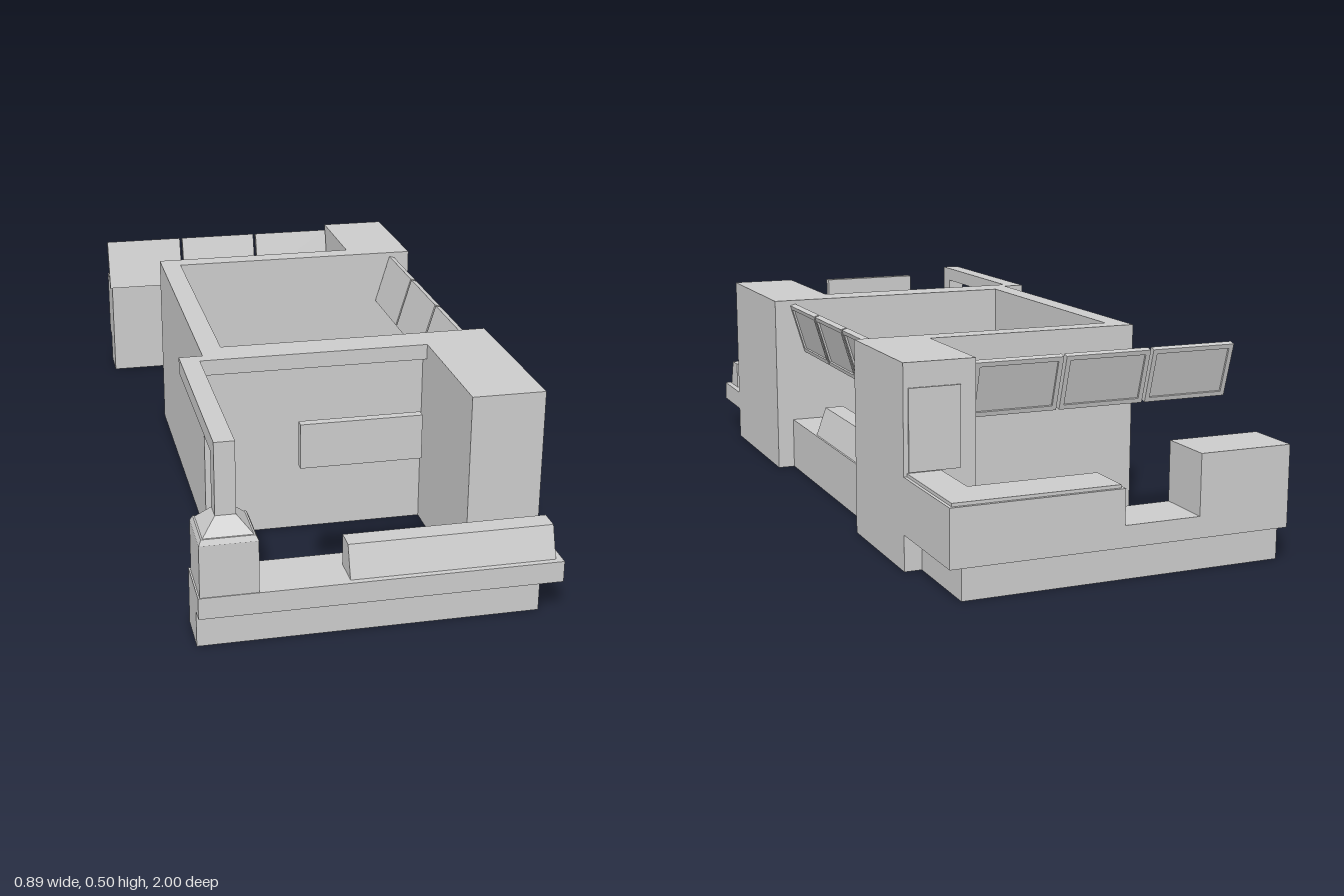
import * as THREE from 'three';

const mat = new THREE.MeshStandardMaterial({ color: 0xcccccc, flatShading: true, side: THREE.DoubleSide });

function add(parent, name, geometry) {
  const mesh = new THREE.Mesh(geometry, mat);
  mesh.name = name;
  parent.add(mesh);
  return mesh;
}

// Box given by its limits on each axis
function box(parent, name, x0, x1, y0, y1, z0, z1) {
  const mesh = add(parent, name, new THREE.BoxGeometry(x1 - x0, y1 - y0, z1 - z0));
  mesh.position.set((x0 + x1) / 2, (y0 + y1) / 2, (z0 + z1) / 2);
  return mesh;
}

function shapeOf(points) {
  return new THREE.Shape(points.map(([x, y]) => new THREE.Vector2(x, y)));
}

// Flat plan (x, z) raised from y0 to y1
function slab(parent, name, plan, y0, y1) {
  const shape = shapeOf(plan.map(([x, z]) => [x, -z]));
  const geo = new THREE.ExtrudeGeometry(shape, { depth: y1 - y0, bevelEnabled: false });
  geo.rotateX(-Math.PI / 2);
  add(parent, name, geo).position.y = y0;
}

// Bar with a sloping outer face (outer side is local +z)
function slopedBar(parent, name, length) {
  const profile = shapeOf([[-0.04, 0], [0.04, 0], [0.012, 0.077], [-0.04, 0.077]]);
  const geo = new THREE.ExtrudeGeometry(profile, { depth: length, bevelEnabled: false });
  geo.translate(0, 0, -length / 2).rotateY(-Math.PI / 2);
  return add(parent, name, geo);
}

// Row of three framed panels leaning outward at the top (local +z)
function panelRow(parent, name, width) {
  const row = new THREE.Group();
  row.name = name;
  const gap = 0.008, w = (width - 2 * gap) / 3, h = 0.145, rim = 0.012;
  for (let i = -1; i <= 1; i++) {
    const panel = new THREE.Group();
    panel.name = 'awningPanel';
    box(panel, 'panelSheet', -w / 2, w / 2, -h / 2, h / 2, -0.008, 0.003);
    const frame = shapeOf([[-w / 2, -h / 2], [w / 2, -h / 2], [w / 2, h / 2], [-w / 2, h / 2]]);
    const a = w / 2 - rim, b = h / 2 - rim;
    frame.holes.push(shapeOf([[-a, -b], [-a, b], [a, b], [a, -b]]));
    const geo = new THREE.ExtrudeGeometry(frame, { depth: 0.005, bevelEnabled: false });
    add(panel, 'panelFrame', geo).position.z = 0.003;
    panel.position.x = i * (w + gap);
    panel.rotation.x = 0.29;
    row.add(panel);
  }
  parent.add(row);
  return row;
}

export function createModel() {
  const g = new THREE.Group();
  g.name = 'stall';

  // Three-sided enclosure, open above, below and toward the counter
  box(g, 'sideWall', -0.315, -0.26, 0, 0.5, -0.42, 0.415);
  box(g, 'backWall', -0.26, 0.26, 0, 0.5, -0.42, -0.365);
  box(g, 'frontWall', -0.26, 0.26, 0, 0.5, 0.36, 0.415);

  // Tall blocks on either side of the serving window
  box(g, 'frontPillar', 0.26, 0.442, 0, 0.5, 0.36, 0.82);
  box(g, 'backPillar', 0.26, 0.442, 0, 0.5, -0.715, -0.365);
  box(g, 'pillarPlate', 0.3, 0.43, 0.24, 0.44, -0.719, -0.715);

  // Serving window
  box(g, 'servingCounter', 0.308, 0.395, 0, 0.143, -0.365, 0.36);
  const sideBar = slopedBar(g, 'sideCounterBar', 0.495);
  sideBar.rotation.y = Math.PI / 2;
  sideBar.position.set(0.35, 0.143, -0.107);

  // Awnings
  const sideRow = panelRow(g, 'sideAwning', 0.72);
  sideRow.rotation.y = Math.PI / 2;
  sideRow.position.set(0.368, 0.4175, 0);
  const backRow = panelRow(g, 'backAwning', 0.702);
  backRow.rotation.y = Math.PI;
  backRow.position.set(-0.095, 0.4175, -0.678);

  // Front ledge and its recessed base
  slab(g, 'frontLedge', [[-0.423, 0.85], [-0.423, 1], [0.442, 1], [0.442, 0.82], [0.308, 0.82], [0.308, 0.85]], 0.09, 0.143);
  slab(g, 'frontBase', [[-0.423, 0.85], [-0.423, 0.963], [0.398, 0.963], [0.398, 0.82], [0.308, 0.82], [0.308, 0.85]], 0, 0.09);
  slopedBar(g, 'frontCounterBar', 0.495).position.set(0.178, 0.143, 0.945);
  box(g, 'hangingSign', -0.163, 0.123, 0.381, 0.489, 0.852, 0.874);

  // Corner post: pedestal, four-sided taper, shaft and overhead beams
  box(g, 'postPedestal', -0.419, -0.283, 0.143, 0.273, 0.862, 0.998);
  const tiers = [[0.068, 0.273, 0.062, 0.286], [0.058, 0.286, 0.024, 0.323]];
  for (const [r0, y0, r1, y1] of tiers) {
    const geo = new THREE.CylinderGeometry(r1 * Math.SQRT2, r0 * Math.SQRT2, y1 - y0, 4);
    geo.rotateY(Math.PI / 4);
    add(g, 'postTaper', geo).position.set(-0.351, (y0 + y1) / 2, 0.932);
  }
  box(g, 'postShaft', -0.375, -0.327, 0.32, 0.46, 0.908, 0.956);
  box(g, 'longBeam', -0.375, -0.327, 0.46, 0.5, 0.415, 0.956);
  box(g, 'crossBeam', -0.327, 0.26, 0.46, 0.5, 0.415, 0.45);

  // Back ledge and its recessed base
  slab(g, 'backLedge', [[-0.423, -1], [-0.423, -0.855], [0.308, -0.855], [0.308, -0.715], [0.442, -0.715], [0.442, -1]], 0.09, 0.143);
  slab(g, 'backBase', [[-0.423, -0.96], [-0.423, -0.855], [0.308, -0.855], [0.308, -0.715], [0.398, -0.715], [0.398, -0.96]], 0, 0.09);
  box(g, 'backBlock', -0.423, -0.183, 0.143, 0.293, -1, -0.855);

  // L-shaped bench with a slightly inset top
  const bench = (d) => [[0.012 + d, -1 + d], [0.012 + d, -0.865 - d], [0.34 + d, -0.865 - d],
    [0.34 + d, -0.715], [0.442 - d, -0.715], [0.442 - d, -1 + d]];
  slab(g, 'bench', bench(0), 0.143, 0.23);
  slab(g, 'benchTop', bench(0.008), 0.23, 0.238);

  return g;
}
